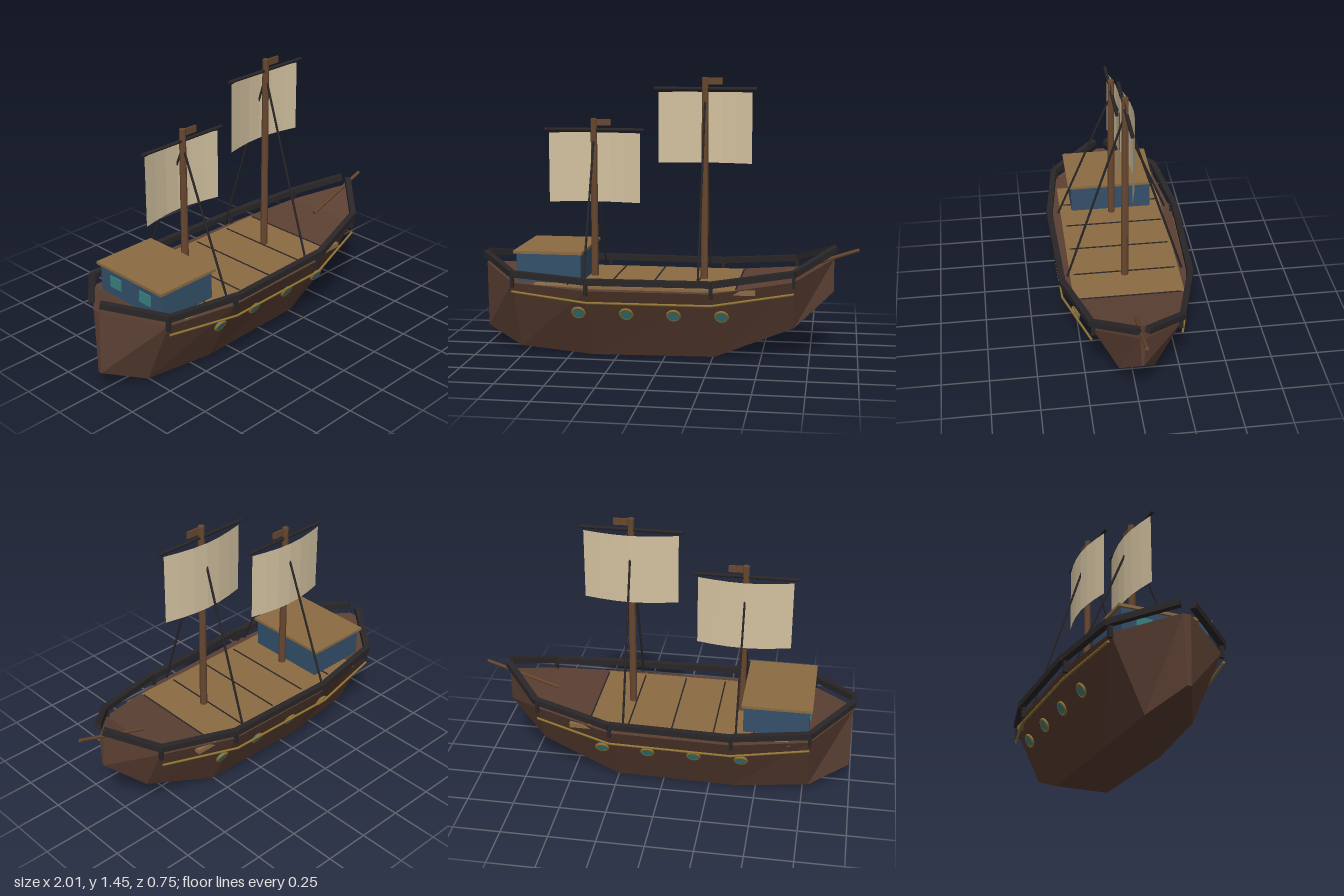
import * as THREE from 'three';

const mat = (name, color) => {
  const m = new THREE.MeshStandardMaterial({ color });
  m.name = name;
  return m;
};

// Hull stations: x, top y, bottom y, half width at top, half width at bottom, rail y
const STATIONS = [
  [-0.99, 0.46, 0.11, 0.02, 0.01, 0.51],
  [-0.78, 0.405, 0.03, 0.285, 0.12, 0.455],
  [-0.38, 0.385, 0.003, 0.345, 0.148, 0.435],
  [0.26, 0.385, 0.012, 0.33, 0.145, 0.435],
  [0.67, 0.435, 0.167, 0.22, 0.09, 0.48],
  [0.87, 0.525, 0.35, 0.014, 0.006, 0.575],
];

function hullGeometry() {
  const pos = [];
  const rings = STATIONS.map(([x, t, b, wt, wb]) => [[x, t, wt], [x, t, -wt], [x, b, -wb], [x, b, wb]]);
  const quad = (a, b, c, d) => pos.push(...a, ...b, ...c, ...a, ...c, ...d);
  for (let i = 0; i < rings.length - 1; i++) {
    for (let k = 0; k < 4; k++) {
      const n = (k + 1) % 4;
      quad(rings[i][k], rings[i + 1][k], rings[i + 1][n], rings[i][n]);
    }
  }
  const [s, e] = [rings[0], rings[rings.length - 1]];
  quad(s[0], s[1], s[2], s[3]);
  quad(e[3], e[2], e[1], e[0]);
  const g = new THREE.BufferGeometry();
  g.setAttribute('position', new THREE.Float32BufferAttribute(pos, 3));
  g.computeVertexNormals();
  return g;
}

export function createModel() {
  const ship = new THREE.Group();
  ship.name = 'sailingShip';
  const M = {
    hull: mat('hull brown', 0x5c4033),
    wood: mat('spar brown', 0x67472f),
    deck: mat('deck tan', 0x8b6b43),
    dark: mat('dark iron', 0x2a2628),
    gold: mat('dull gold', 0x947634),
    teal: mat('porthole teal', 0x3a8584),
    navy: mat('cabin blue', 0x34506a),
    sail: mat('sail canvas', 0xd4c2a0),
  };
  M.sail.side = THREE.DoubleSide;

  const add = (name, geo, material, x = 0, y = 0, z = 0, parent = ship) => {
    const m = new THREE.Mesh(geo, material);
    m.name = name;
    m.position.set(x, y, z);
    parent.add(m);
    return m;
  };
  const box = (name, material, w, h, d, x, y, z) =>
    add(name, new THREE.BoxGeometry(w, h, d), material, x, y, z);
  // Square or round bar between two points
  const bar = (name, material, a, b, w, round = false) => {
    const p = new THREE.Vector3(...a), q = new THREE.Vector3(...b);
    const len = p.distanceTo(q);
    const geo = round
      ? new THREE.CylinderGeometry(w / 2, w / 2, len, 6).rotateX(Math.PI / 2)
      : new THREE.BoxGeometry(w, w, len);
    const m = add(name, geo, material);
    m.position.copy(p).add(q).multiplyScalar(0.5);
    m.lookAt(q);
    return m;
  };

  // Hull and planked deck
  add('hull', hullGeometry(), M.hull);
  box('deck', M.deck, 1.16, 0.025, 0.58, -0.1, 0.387, 0);
  for (const x of [-0.49, -0.28, -0.06, 0.17, 0.38]) {
    box('deckSeam', M.dark, 0.007, 0.006, 0.54, x, 0.4, 0);
  }

  // Rails, posts, gold trim and portholes, mirrored on both sides
  const trimY = [0, 0.36, 0.326, 0.326, 0.375];
  const tilt = Math.atan2(0.2, 0.38);
  for (const s of [1, -1]) {
    for (let i = 0; i < STATIONS.length - 1; i++) {
      const a = STATIONS[i], b = STATIONS[i + 1];
      bar('rail', M.dark, [a[0], a[5], s * (a[3] + 0.012)], [b[0], b[5], s * (b[3] + 0.008)], 0.032);
      if (i > 0) {
        box('railPost', M.dark, 0.018, 0.08, 0.022, a[0], a[5] - 0.035, s * a[3]);
      }
      if (i > 0 && i < 4) {
        bar('goldTrim', M.gold, [a[0], trimY[i], s * (a[3] + 0.01)], [b[0], trimY[i + 1], s * (b[3] + 0.01)], 0.013, true);
      }
    }
    for (const x of [-0.43, -0.18, 0.065, 0.31]) {
      const port = new THREE.Group();
      port.name = 'porthole';
      port.position.set(x, 0.26, s * (x > 0.26 ? 0.272 : 0.281));
      port.rotation.set(s * tilt, s > 0 ? 0 : Math.PI, 0, 'XYZ');
      ship.add(port);
      add('portholeRing', new THREE.TorusGeometry(0.032, 0.007, 6, 12), M.gold, 0, 0, 0.004, port);
      add('portholeGlass', new THREE.CylinderGeometry(0.031, 0.031, 0.016, 12).rotateX(Math.PI / 2),
        M.teal, 0, 0, 0.002, port);
    }
  }

  // Stern cabin
  box('cabin', M.navy, 0.34, 0.19, 0.45, -0.6, 0.458, 0);
  box('cabinRoof', M.deck, 0.365, 0.015, 0.485, -0.602, 0.558, 0);
  for (const z of [-0.11, 0.11]) {
    box('cabinWindow', M.teal, 0.009, 0.06, 0.08, -0.772, 0.485, z);
  }

  // Masts with yard, curved sail, pennant and shrouds
  for (const [x, top] of [[0.19, 1.458], [-0.4, 1.24]]) {
    const h = top - 0.38;
    add('mast', new THREE.CylinderGeometry(0.017, 0.02, h, 8).toNonIndexed(), M.wood, x, 0.38 + h / 2, 0)
      .geometry.computeVertexNormals();
    bar('yard', M.dark, [x - 0.267, top - 0.06, 0], [x + 0.267, top - 0.06, 0], 0.02, true);
    let sail = new THREE.PlaneGeometry(0.49, 0.37, 6, 1);
    const p = sail.attributes.position;
    for (let i = 0; i < p.count; i++) {
      p.setZ(i, -0.005 - 0.038 * Math.cos((p.getX(i) / 0.49) * Math.PI));
    }
    sail = sail.toNonIndexed();
    sail.computeVertexNormals();
    add('sail', sail, M.sail, x, top - 0.262, 0);
    box('pennant', M.wood, 0.08, 0.035, 0.01, x + 0.05, top - 0.02, 0);
    for (const s of [1, -1]) {
      bar('shroud', M.dark, [x, top - 0.09, 0], [x, 0.41, s * 0.305], 0.012, true);
    }
  }

  // Bowsprit
  bar('bowsprit', M.wood, [0.605, 0.44, 0], [0.998, 0.572, 0], 0.02, true);
  return ship;
}
